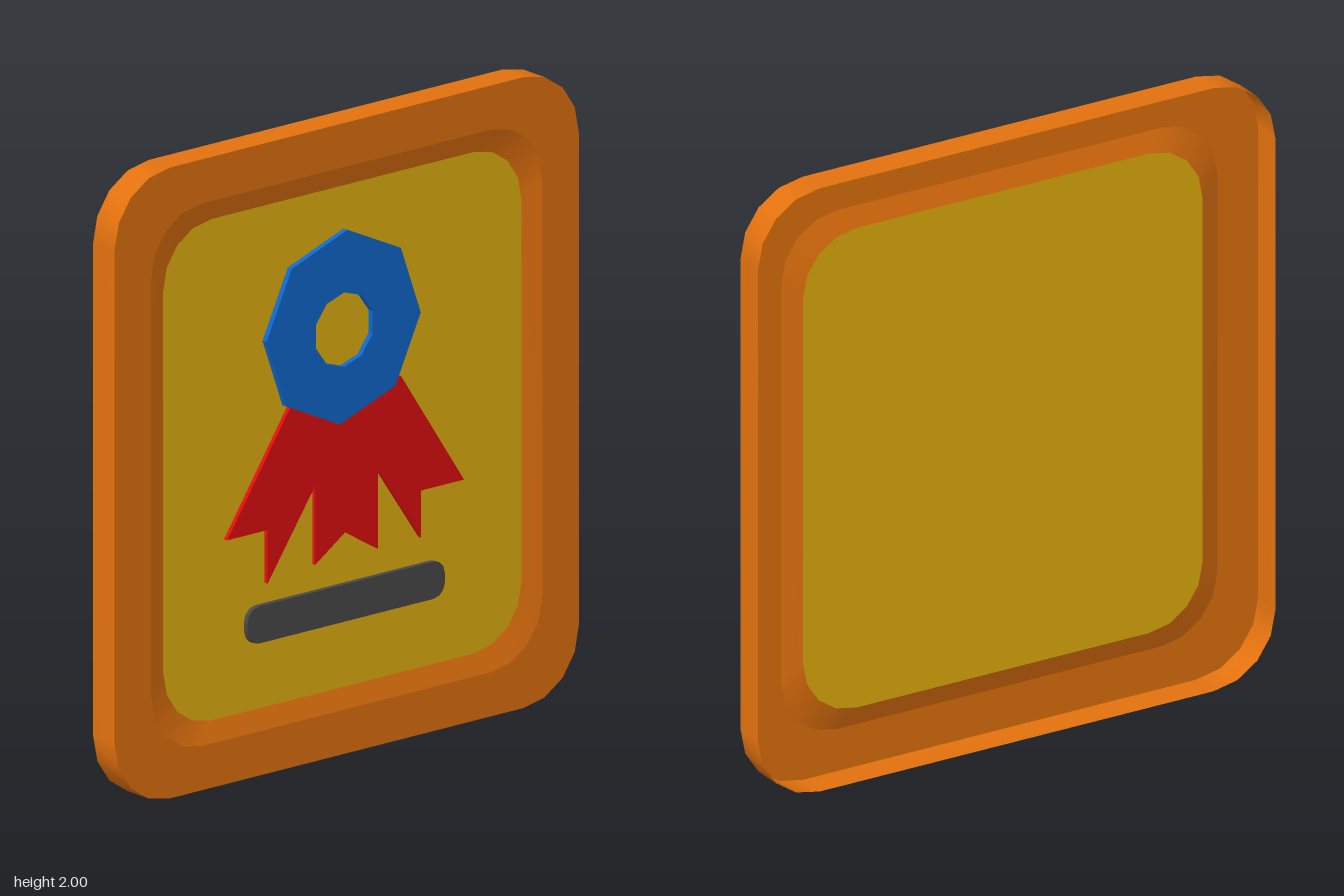
import * as THREE from 'three';

const mat = (name, color, side = THREE.FrontSide) => {
  const m = new THREE.MeshStandardMaterial({ color, side });
  m.name = name;
  return m;
};

// Outline of a rounded rectangle as a counter-clockwise list of points
function roundedRect(halfW, y0, y1, r, steps = 4) {
  const pts = [];
  const corners = [[1, 1], [-1, 1], [-1, -1], [1, -1]];
  corners.forEach(([sx, sy], q) => {
    for (let i = 0; i <= steps; i++) {
      const a = (q + i / steps) * Math.PI / 2;
      pts.push(new THREE.Vector2(
        sx * (halfW - r) + r * Math.cos(a),
        (sy > 0 ? y1 - r : y0 + r) + r * Math.sin(a)));
    }
  });
  return pts;
}

// Regular polygon outline
function polygon(cx, cy, r, sides, start) {
  return Array.from({ length: sides }, (_, i) => {
    const a = start + i / sides * Math.PI * 2;
    return new THREE.Vector2(cx + r * Math.cos(a), cy + r * Math.sin(a));
  });
}

// Band of quads joining two matching outlines at different depths
function band(a, za, b, zb) {
  const pos = [], idx = [], n = a.length;
  for (let i = 0; i < n; i++) {
    pos.push(a[i].x, a[i].y, za, b[i].x, b[i].y, zb);
    const p = 2 * i, q = 2 * ((i + 1) % n);
    idx.push(p, q, q + 1, p, q + 1, p + 1);
  }
  const g = new THREE.BufferGeometry();
  g.setAttribute('position', new THREE.Float32BufferAttribute(pos, 3));
  g.setIndex(idx);
  g.computeVertexNormals();
  return g;
}

export function createModel() {
  const orange = mat('orange frame', 0xe2710e, THREE.DoubleSide);
  const yellow = mat('yellow panel', 0xe2b00e, THREE.DoubleSide);
  const blue = mat('blue rosette', 0x0e68cc);
  const red = mat('red ribbon', 0xe20e0e);
  const grey = mat('dark grey', 0x494949);

  // Drawn facing +z, then turned to face +x
  const plaque = new THREE.Group();
  plaque.name = 'plaque';
  plaque.rotation.y = Math.PI / 2;

  const add = (name, geometry, material) => {
    const mesh = new THREE.Mesh(geometry, material);
    mesh.name = name;
    plaque.add(mesh);
  };
  const FRONT = 0.05, PANEL = 0.03, BASE = 0.031;
  const plate = (name, pts, top, material, hole) => {
    const shape = new THREE.Shape(pts);
    if (hole) shape.holes.push(new THREE.Path(hole));
    const g = new THREE.ExtrudeGeometry(shape, { depth: top - BASE, bevelEnabled: false });
    add(name, g.translate(0, 0, BASE), material);
  };
  const v = (x, y) => new THREE.Vector2(x, y);

  // Hollow frame: outer wall, front border and sloping inner edge
  const outer = roundedRect(0.92, 0, 2, 0.22);
  const inner = roundedRect(0.775, 0.14, 1.86, 0.2);
  const field = roundedRect(0.71, 0.205, 1.795, 0.19);
  add('frameWall', band(outer, -FRONT, outer, FRONT), orange);
  const border = new THREE.Shape(outer);
  border.holes.push(new THREE.Path(inner));
  add('frameBorder', new THREE.ShapeGeometry(border).translate(0, 0, FRONT), orange);
  add('frameSlope', band(inner, FRONT, field, PANEL), orange);

  // Recessed panel
  add('panel', new THREE.ShapeGeometry(new THREE.Shape(field)).translate(0, 0, PANEL), yellow);

  // Rosette with a round opening
  plate('rosette', polygon(-0.012, 1.353, 0.306, 8, Math.PI / 2 - 0.05), FRONT, blue,
    polygon(-0.01, 1.345, 0.118, 10, Math.PI / 2));

  // Ribbon tails with notched ends
  plate('ribbonTailSide', [v(-0.22, 1.14), v(-0.47, 0.77), v(-0.31, 0.77), v(-0.31, 0.6),
    v(0.03, 1.09), v(0, 1.15)], 0.046, red);
  plate('ribbonTails', [v(-0.12, 0.87), v(-0.12, 0.62), v(0, 0.7), v(0.13, 0.62), v(0.13, 0.87),
    v(0.3, 0.62), v(0.3, 0.77), v(0.47, 0.77), v(0.22, 1.15), v(0, 1.15), v(-0.12, 1.1)], 0.044, red);

  // Name bar
  plate('nameBar', roundedRect(0.391, 0.418, 0.536, 0.045, 3), 0.048, grey);

  const model = new THREE.Group();
  model.name = 'awardPlaque';
  model.add(plaque);
  return model;
}
